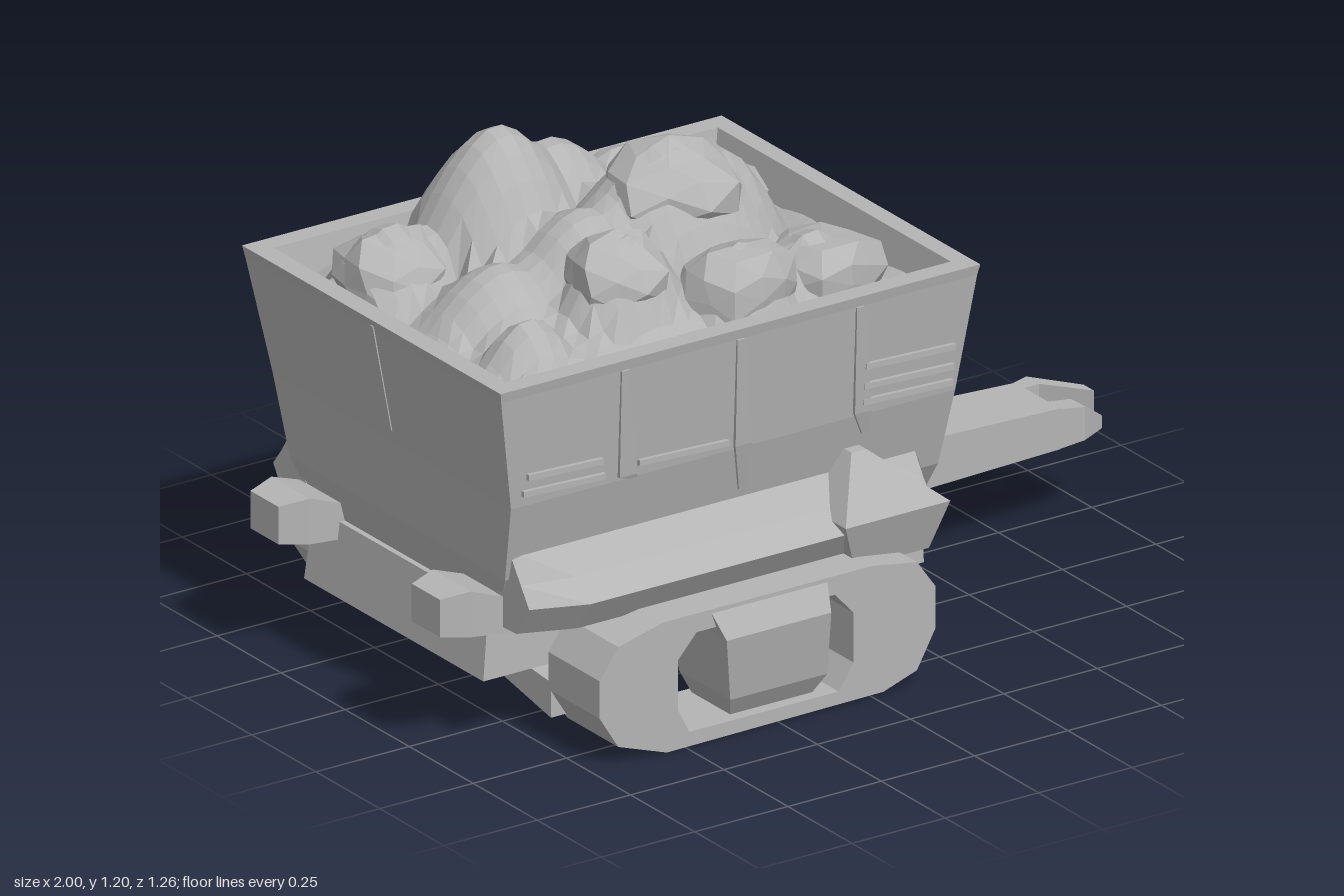
import * as THREE from 'three';

const ash = new THREE.MeshStandardMaterial({ color: 0xb4b4b4 });
ash.flatShading = true;
ash.side = THREE.DoubleSide;

// Skin over matching rings of points, closed at both ends; mirror flips z
function loft(rings, mirror = false) {
  const sections = mirror ? rings.map(r => r.map(([x, y, z]) => [x, y, -z]).reverse()) : rings;
  const n = sections[0].length, index = [];
  for (let r = 0; r < sections.length - 1; r++) {
    for (let i = 0; i < n; i++) {
      const a = r * n + i, b = r * n + (i + 1) % n;
      index.push(a, b, b + n, a, b + n, a + n);
    }
  }
  const last = (sections.length - 1) * n;
  for (let i = 1; i < n - 1; i++) index.push(0, i + 1, i, last, last + i, last + i + 1);
  const g = new THREE.BufferGeometry();
  g.setAttribute('position', new THREE.Float32BufferAttribute(sections.flat(2), 3));
  g.setIndex(index);
  const flat = g.toNonIndexed();
  flat.computeVertexNormals();
  return flat;
}

// Level rectangle, and upright rectangle across the x axis
const level = (y, x0, x1, z0, z1 = -z0) => [[x1, y, z0], [x1, y, z1], [x0, y, z1], [x0, y, z0]];
const upright = (x, y0, y1, z0, z1) => [[x, y0, z0], [x, y1, z0], [x, y1, z1], [x, y0, z1]];

// Faceted lump with a repeatable uneven surface
function rockGeometry(rx, ry, rz, seed) {
  const g = new THREE.IcosahedronGeometry(1, 1);
  const p = g.attributes.position, v = new THREE.Vector3();
  for (let i = 0; i < p.count; i++) {
    v.fromBufferAttribute(p, i);
    const k = Math.sin(Math.round(v.x * 50) * 1.7 + Math.round(v.y * 50) * 2.9 + Math.round(v.z * 50) * 4.3 + seed * 7.1);
    v.multiplyScalar(0.96 + 0.1 * k);
    p.setXYZ(i, v.x * rx, v.y * ry, v.z * rz);
  }
  g.computeVertexNormals();
  return g;
}

// Heap surface: a low mound with peaks given as x, top, z, radius x, radius z
function heapGeometry(peaks) {
  const g = new THREE.PlaneGeometry(1.12, 0.87, 28, 22).rotateX(-Math.PI / 2);
  const p = g.attributes.position;
  for (let i = 0; i < p.count; i++) {
    const u = p.getX(i) / 0.56, v = p.getZ(i) / 0.435;
    const x = p.getX(i) - 0.285, z = p.getZ(i);
    let y = 0.85 + 0.13 * (1 - u * u) * (1 - v * v) + 0.012 * Math.sin(x * 31 + z * 17);
    for (const [px, top, pz, rx, rz] of peaks) {
      const d = Math.hypot((x - px) / rx, (z - pz) / rz);
      if (d < 1.2) y = Math.max(y, top - 0.17 * Math.pow(d, 1.7));
    }
    p.setXYZ(i, x, y, z);
  }
  g.computeVertexNormals();
  return g;
}

export function createModel() {
  const model = new THREE.Group();
  const add = (name, geometry, x = 0, y = 0, z = 0) => {
    const mesh = new THREE.Mesh(geometry, ash);
    mesh.name = name;
    mesh.position.set(x, y, z);
    model.add(mesh);
    return mesh;
  };

  // Open tub: outside upward, over the rim, then down the inside
  add('tub', loft([
    level(0.31, -0.83, 0.29, 0.35),
    level(0.43, -0.86, 0.30, 0.42),
    level(0.62, -0.875, 0.315, 0.465),
    level(0.90, -0.925, 0.35, 0.50),
    level(0.925, -0.93, 0.355, 0.505),
    level(0.925, -0.88, 0.31, 0.455),
    level(0.80, -0.85, 0.285, 0.435),
  ]));

  // Chassis with a slightly narrower belly
  add('chassis', loft([
    level(0.14, -0.80, 0.22, 0.28),
    level(0.165, -0.87, 0.31, 0.35),
    level(0.335, -0.85, 0.31, 0.34),
  ]));

  // Draw bar with a forked tip
  add('drawBar', loft([
    upright(0.28, 0.17, 0.335, -0.11, 0.10),
    upright(0.37, 0.20, 0.325, -0.105, 0.09),
    upright(0.86, 0.207, 0.305, -0.095, 0.08),
  ]));
  add('forkArm', loft([
    upright(0.85, 0.207, 0.305, -0.095, -0.06),
    upright(0.90, 0.21, 0.305, -0.11, -0.06),
    upright(0.985, 0.21, 0.30, -0.01, 0.03),
  ]));
  add('forkArm', loft([
    upright(0.85, 0.207, 0.305, 0.03, 0.08),
    upright(0.93, 0.21, 0.29, 0.02, 0.075),
    upright(1.0, 0.21, 0.24, 0.0, 0.04),
  ]));

  // Wheel truck outline: two eight-sided wheels joined top and bottom
  const outline = new THREE.Shape([
    [-0.73, 0.13], [-0.68, 0.05], [-0.55, 0.005], [0.03, 0.01], [0.12, 0.04], [0.17, 0.13],
    [0.17, 0.23], [0.12, 0.30], [0.0, 0.32], [-0.56, 0.32], [-0.68, 0.29], [-0.73, 0.22],
  ].map(p => new THREE.Vector2(...p)));
  outline.holes.push(new THREE.Path([
    [-0.52, 0.10], [-0.49, 0.04], [-0.09, 0.04], [-0.05, 0.10], [-0.05, 0.22], [-0.10, 0.275],
    [-0.47, 0.275], [-0.52, 0.22],
  ].map(p => new THREE.Vector2(...p))));
  const truck = new THREE.ExtrudeGeometry(outline, { depth: 0.2, bevelEnabled: false });

  for (const side of [1, -1]) {
    const mirror = side < 0;
    add('wheelTruck', truck, 0, 0, side > 0 ? 0.4 : -0.6);

    // Axle box between the wheels, with a raised face
    add('axleBox', loft([
      level(0.04, -0.36, -0.14, 0.57, 0.42),
      level(0.09, -0.38, -0.12, 0.60, 0.40),
      level(0.25, -0.41, -0.13, 0.63, 0.40),
      level(0.31, -0.43, -0.12, 0.60, 0.40),
    ], mirror));

    // Broad webs from the belly down to the wheels
    for (const x of [-0.63, 0.06]) {
      add('axleWeb', loft([
        [[x + 0.1, 0.065, 0.41], [x + 0.1, 0.135, 0.05], [x - 0.1, 0.135, 0.05], [x - 0.1, 0.065, 0.41]],
        [[x + 0.1, 0.15, 0.41], [x + 0.1, 0.18, 0.05], [x - 0.1, 0.18, 0.05], [x - 0.1, 0.15, 0.41]],
      ], mirror));
    }

    // Skirt curving out of the tub over the wheels
    const skirt = (x, out) => [[x, 0.50, 0.42], [x, 0.43, (out + 0.43) / 2], [x, 0.385, out], [x, 0.31, out - 0.05], [x, 0.305, 0.34]];
    add('skirt', loft([skirt(-0.85, 0.50), skirt(-0.72, 0.55), skirt(0.10, 0.55), skirt(0.23, 0.50)], mirror));

    // Flared gusset rising up the tub
    add('gusset', loft([
      level(0.29, 0.0, 0.20, 0.53, 0.36),
      level(0.41, -0.05, 0.23, 0.57, 0.38),
      level(0.54, 0.03, 0.07, 0.475, 0.43),
    ], mirror));

    // Rear buffer
    add('buffer', loft([
      upright(-1.0, 0.31, 0.40, 0.26, 0.37),
      upright(-0.93, 0.30, 0.41, 0.24, 0.39),
      upright(-0.82, 0.29, 0.37, 0.24, 0.40),
    ], mirror));
  }

  // Tapering upright seams on the front side
  for (const [x, bottom] of [[-0.59, 0.62], [-0.28, 0.51], [0.04, 0.57]]) {
    const low = 0.465 - (0.62 - bottom) * 0.24;
    add('sideSeam', loft([
      level(bottom, x + 0.03, x + 0.05, low + 0.006, low - 0.03),
      level(0.63, x, x + 0.045, 0.475, 0.44),
      level(0.90, x - 0.015, x + 0.005, 0.505, 0.48),
    ]));
  }

  // Loose slats low on the front side
  for (const [x, y, width] of [[0.18, 0.65, 0.24], [0.18, 0.69, 0.24], [0.18, 0.74, 0.24], [-0.74, 0.65, 0.22], [-0.74, 0.69, 0.2], [-0.42, 0.65, 0.24]]) {
    add('sideSlat', new THREE.BoxGeometry(width, 0.014, 0.016), x, y, 0.468 + (y - 0.62) * 0.125).rotation.z = -0.04;
  }

  // Middle seams on the end walls
  add('endSeam', loft([level(0.65, 0.30, 0.323, 0.01), level(0.91, 0.33, 0.356, 0.005)]));
  add('endSeam', loft([level(0.65, -0.883, -0.86, 0.01), level(0.91, -0.93, -0.90, 0.005)]));

  // Heap of ore filling the tub
  add('oreHeap', heapGeometry([
    [-0.46, 1.21, -0.19, 0.17, 0.16], [-0.30, 1.13, -0.22, 0.20, 0.17],
    [-0.17, 1.19, 0.04, 0.22, 0.17], [-0.02, 1.13, 0.02, 0.14, 0.15],
    [-0.40, 1.08, 0.05, 0.20, 0.20], [-0.41, 1.09, 0.22, 0.16, 0.13],
    [-0.74, 1.04, -0.20, 0.17, 0.16], [-0.62, 1.0, 0.05, 0.22, 0.20],
    [-0.70, 0.97, 0.28, 0.16, 0.14], [-0.16, 1.04, 0.31, 0.15, 0.12],
    [0.06, 1.0, 0.27, 0.16, 0.14], [0.10, 1.0, -0.20, 0.17, 0.17],
    [-0.10, 1.06, -0.24, 0.20, 0.15], [-0.40, 0.98, -0.36, 0.24, 0.10],
  ]));

  // Lumps standing proud of the heap: position, radii
  const lumps = [
    [-0.16, 1.07, 0.04, 0.18, 0.12, 0.16], [-0.42, 0.98, 0.21, 0.13, 0.11, 0.13],
    [-0.74, 0.92, -0.20, 0.14, 0.11, 0.14], [-0.16, 0.93, 0.31, 0.15, 0.11, 0.12],
    [0.09, 0.90, 0.27, 0.15, 0.09, 0.14], [0.09, 0.91, -0.22, 0.15, 0.09, 0.16],
  ];
  lumps.forEach(([x, y, z, rx, ry, rz], i) => {
    add('oreLump', rockGeometry(rx, ry, rz, i + 1), x, y, z);
  });

  return model;
}
